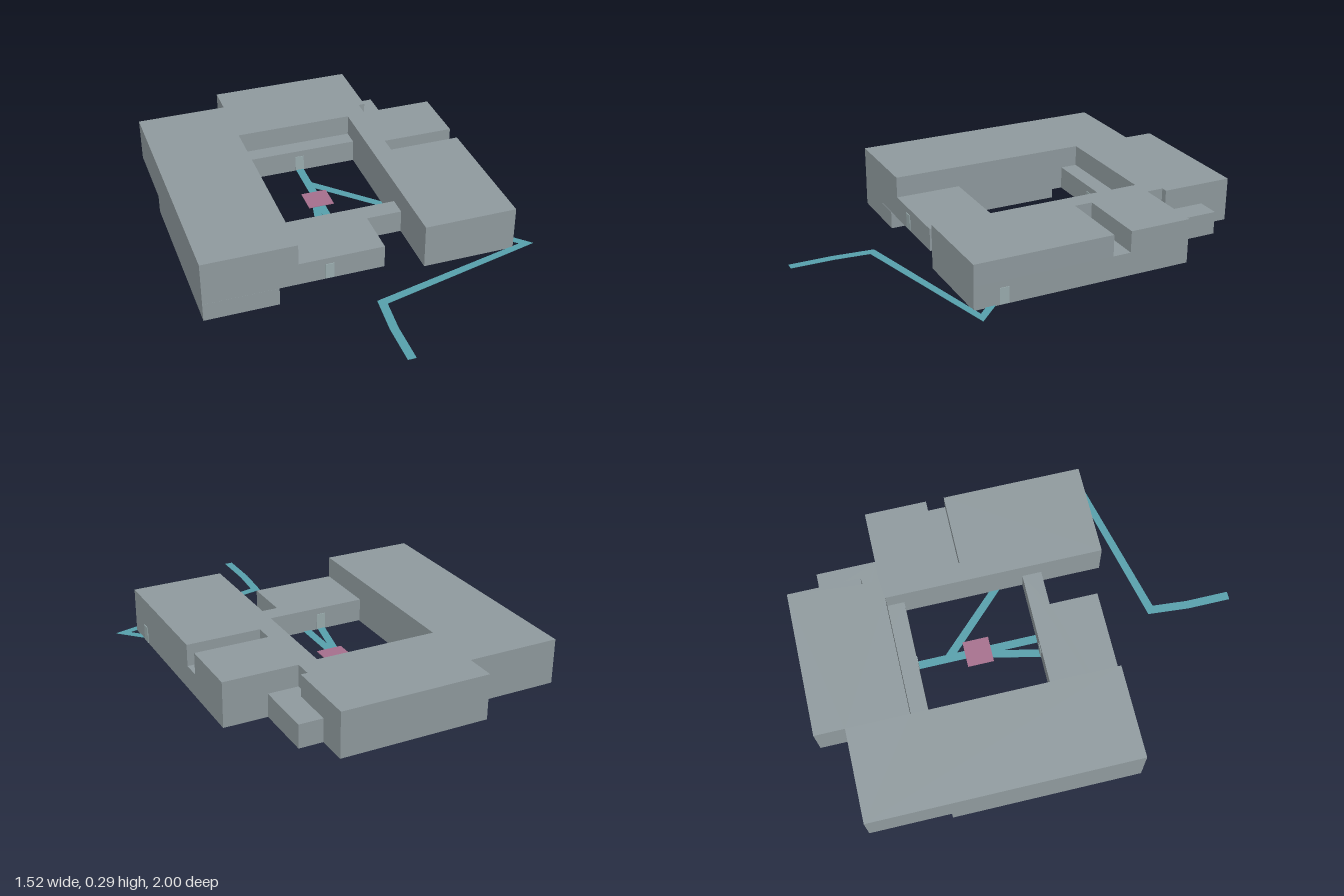
import * as THREE from 'three';

const stone = new THREE.MeshStandardMaterial({ color: 0x919ca0 });
stone.name = 'stoneGrey';
const teal = new THREE.MeshStandardMaterial({ color: 0x58a2ae });
teal.name = 'pathTeal';
const mauve = new THREE.MeshStandardMaterial({ color: 0xa8718f });
mauve.name = 'plazaMauve';
const pale = new THREE.MeshStandardMaterial({ color: 0x9caeb0 });
pale.name = 'doorPale';

const FLOOR = 0.087, MID = 0.195, TOP = 0.295;

// Plan outline in (x, z), raised from y0 to y1
function slab(name, outline, y0, y1, material, hole) {
  const flip = (pts) => pts.map(([x, z]) => new THREE.Vector2(x, -z));
  const shape = new THREE.Shape(flip(outline));
  if (hole) shape.holes.push(new THREE.Path(flip(hole)));
  const geo = new THREE.ExtrudeGeometry(shape, { depth: y1 - y0, bevelEnabled: false });
  geo.rotateX(-Math.PI / 2);
  geo.translate(0, y0, 0);
  const mesh = new THREE.Mesh(geo, material);
  mesh.name = name;
  return mesh;
}

function box(name, w, h, d, x, y, z, material) {
  const mesh = new THREE.Mesh(new THREE.BoxGeometry(w, h, d), material);
  mesh.position.set(x, y, z);
  mesh.name = name;
  return mesh;
}

// Flat walkway with mitred corners along a centre line in (x, z)
function walkway(name, pts, width) {
  const p = pts.map(([x, z]) => new THREE.Vector2(x, z));
  const left = [], right = [];
  p.forEach((c, i) => {
    const a = (i ? c.clone().sub(p[i - 1]) : p[1].clone().sub(c)).normalize();
    const b = (i < p.length - 1 ? p[i + 1].clone().sub(c) : a.clone()).normalize();
    const na = new THREE.Vector2(-a.y, a.x), nb = new THREE.Vector2(-b.y, b.x);
    const m = na.clone().add(nb).normalize();
    m.multiplyScalar(width / 2 / Math.max(m.dot(na), 0.6));
    left.push([c.x + m.x, c.y + m.y]);
    right.unshift([c.x - m.x, c.y - m.y]);
  });
  return slab(name, [...left, ...right], 0.089, 0.091, teal);
}

export function createModel() {
  const model = new THREE.Group();
  model.name = 'courtyardBuilding';

  // Lower storey around the courtyard
  model.add(slab('lowerStorey', [
    [-0.76, -0.86], [-0.33, -0.86], [-0.33, -1], [0.35, -1], [0.35, -0.86], [0.46, -0.86],
    [0.46, -0.58], [0.66, -0.58], [0.66, 0.445], [0.23, 0.445], [0.23, 0.16],
    [0.065, 0.16], [0.065, 0.387], [-0.76, 0.387],
  ], FLOOR, MID, stone, [[-0.33, -0.49], [-0.33, 0.07], [0.23, 0.07], [0.23, -0.49]]));

  // Upper storey, open at the front and notched on the left wing
  model.add(slab('upperStorey', [
    [-0.76, 0.387], [-0.76, -0.86], [-0.33, -0.86], [-0.33, -1], [0.35, -1], [0.35, -0.66],
    [0.32, -0.66], [0.32, -0.58], [0.66, -0.58], [0.66, -0.29], [0.32, -0.29],
    [0.32, -0.205], [0.66, -0.205], [0.66, 0.445], [0.23, 0.445], [0.23, -0.57],
    [-0.33, -0.57], [-0.33, 0.387],
  ], MID, TOP, stone));

  // Basement under the right wing
  model.add(box('basement', 0.342, FLOOR, 0.875, -0.589, FLOOR / 2, -0.05, stone));

  // Doors as thin plates: two in the court, one in front, one on the side
  const doorH = 0.075, doorY = 0.09 + doorH / 2;
  [['frontDoor', -0.19, 0.388], ['courtBackDoor', -0.05, -0.489], ['courtFrontDoor', -0.12, 0.069]]
    .forEach(([name, x, z]) => model.add(box(name, 0.042, doorH, 0.004, x, doorY, z, pale)));
  model.add(box('sideDoor', 0.004, doorH, 0.042, 0.661, doorY, 0.307, pale));

  // Walkways and the small plaza
  model.add(walkway('courtWalkway', [[-0.05, -0.49], [-0.05, 0.09]], 0.038));
  model.add(walkway('branchWalkway', [[-0.07, -0.17], [-0.127, 0.09]], 0.036));
  model.add(walkway('outerWalkway',
    [[-0.045, -0.345], [0.73, 0.44], [-0.035, 0.625], [-0.05, 0.8], [-0.05, 1]], 0.038));
  model.add(box('plaza', 0.122, 0.004, 0.122, -0.05, 0.092, -0.208, mauve));

  return model;
}
